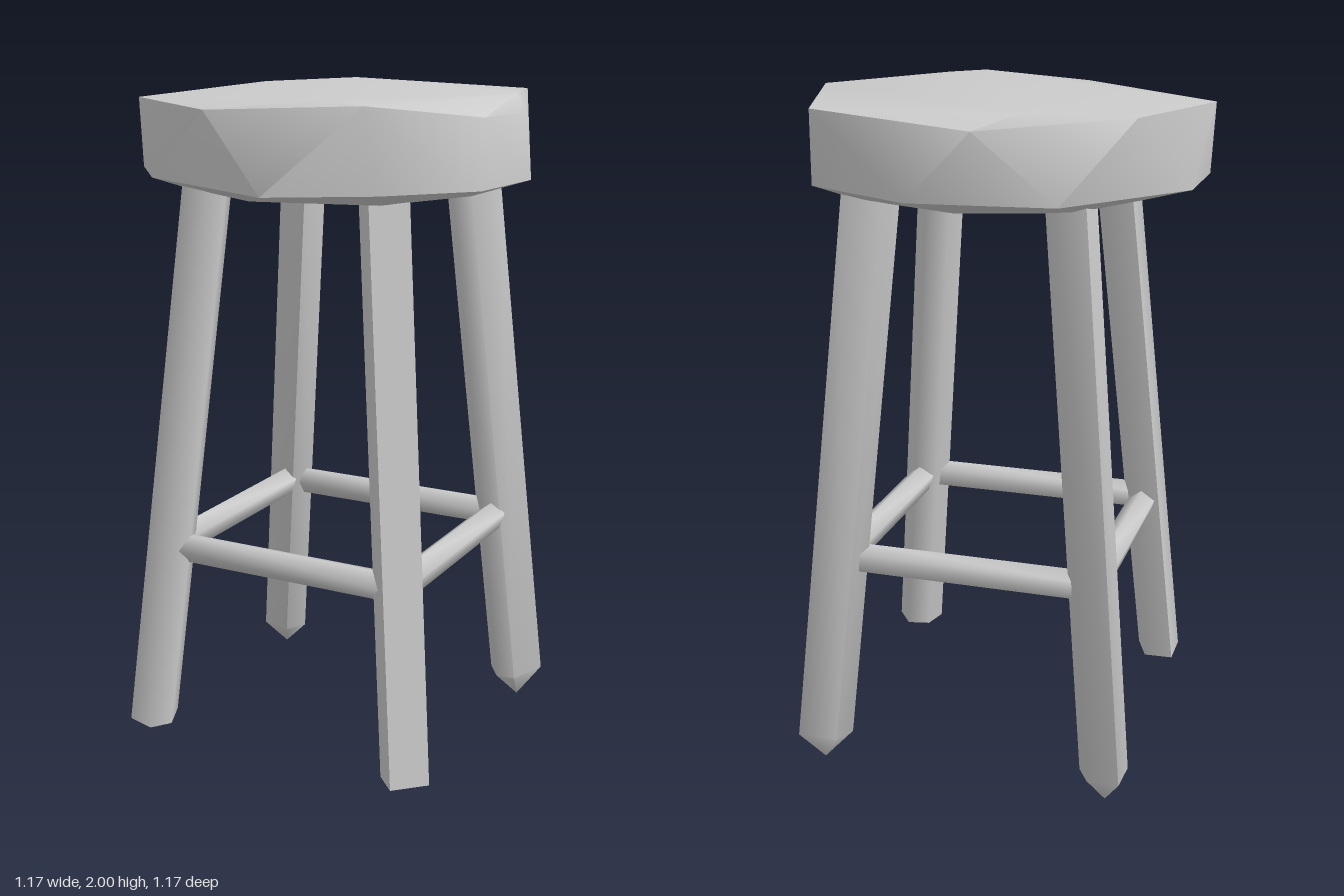
import * as THREE from 'three';
import { ConvexGeometry } from 'three/addons/geometries/ConvexGeometry.js';
import { toCreasedNormals } from 'three/addons/utils/BufferGeometryUtils.js';

const material = new THREE.MeshStandardMaterial({ color: 0xcccccc });
const v = (x, y, z) => new THREE.Vector3(x, y, z);

// Rough-hewn solid: convex hull of a few corners, softened below the crease angle
function hewn(name, points, crease) {
  const mesh = new THREE.Mesh(toCreasedNormals(new ConvexGeometry(points), crease), material);
  mesh.name = name;
  return mesh;
}

// Leg: foot outline [x, z] slanted up to the seat, with an optional pointed tip
function leg(name, foot, dx, dz, tip) {
  const points = [];
  for (const [x, z] of foot) points.push(v(x, 0.09, z), v(x + dx, 1.76, z + dz));
  if (tip) points.push(v(...tip));
  return hewn(name, points, 1.3);
}

// Rung: five-sided bar between two points
function rung(name, a, b) {
  const dir = b.clone().sub(a);
  const geometry = new THREE.CylinderGeometry(0.045, 0.045, dir.length(), 5);
  const mesh = new THREE.Mesh(toCreasedNormals(geometry, 1.3), material);
  mesh.position.copy(a).add(b).multiplyScalar(0.5);
  mesh.quaternion.setFromUnitVectors(v(0, 1, 0), dir.normalize());
  mesh.name = name;
  return mesh;
}

export function createModel() {
  const stool = new THREE.Group();
  stool.name = 'stool';

  // Seat: irregular top edge, wider lower edge and flat underside
  const topEdge = [
    [-0.59, 1.965, 0.16], [-0.48, 1.985, -0.4], [-0.2, 2, -0.5], [-0.09, 1.96, -0.585], [0.4, 1.985, -0.465],
    [0.54, 2, -0.02], [0.57, 1.95, -0.02], [0.54, 1.95, 0.2], [0.32, 1.99, 0.48], [0.2, 2, 0.48],
    [-0.12, 1.97, 0.545],
  ];
  const lowerEdge = [
    [-0.58, 1.76, -0.13], [-0.58, 1.76, 0.16], [-0.31, 1.77, -0.545], [0.09, 1.77, -0.59], [0.42, 1.77, -0.42],
    [0.585, 1.765, -0.03], [0.545, 1.76, 0.23], [0.35, 1.76, 0.45], [0.07, 1.755, 0.58], [-0.4, 1.76, 0.38],
  ];
  const underside = [
    [-0.44, 1.72, -0.1], [-0.38, 1.72, 0.25], [-0.05, 1.72, 0.43], [0.3, 1.72, 0.34],
    [0.44, 1.72, 0.05], [0.33, 1.72, -0.32], [0, 1.72, -0.44], [-0.3, 1.72, -0.34],
  ];
  const corners = [...topEdge, ...lowerEdge, ...underside].map((p) => v(...p));
  stool.add(hewn('seat', corners, 0.75));

  // Splayed legs: the rear pair ends in points
  stool.add(
    leg('frontLeftLeg', [[0.505, 0.41], [0.42, 0.49], [0.36, 0.43], [0.38, 0.35], [0.45, 0.335]], -0.15, -0.14),
    leg('frontRightLeg', [[-0.49, 0.34], [-0.49, 0.46], [-0.4, 0.485], [-0.36, 0.43], [-0.4, 0.335]], 0.155, -0.14),
    leg('backLeftLeg', [[0.505, -0.488], [0.38, -0.488], [0.355, -0.42], [0.4, -0.355], [0.46, -0.36]],
      -0.15, 0.12, [0.44, 0, -0.44]),
    leg('backRightLeg', [[-0.495, -0.488], [-0.4, -0.488], [-0.365, -0.43], [-0.4, -0.36], [-0.5, -0.385]],
      0.155, 0.12, [-0.445, 0.01, -0.44]),
  );

  // Rungs joining neighbouring legs
  const y = 0.655;
  stool.add(
    rung('frontRung', v(-0.33, y, 0.365), v(0.335, y, 0.365)),
    rung('backRung', v(-0.33, y, -0.38), v(0.335, y, -0.38)),
    rung('leftRung', v(0.38, y, 0.31), v(0.38, y, -0.325)),
    rung('rightRung', v(-0.38, y, 0.31), v(-0.38, y, -0.325)),
  );
  return stool;
}
